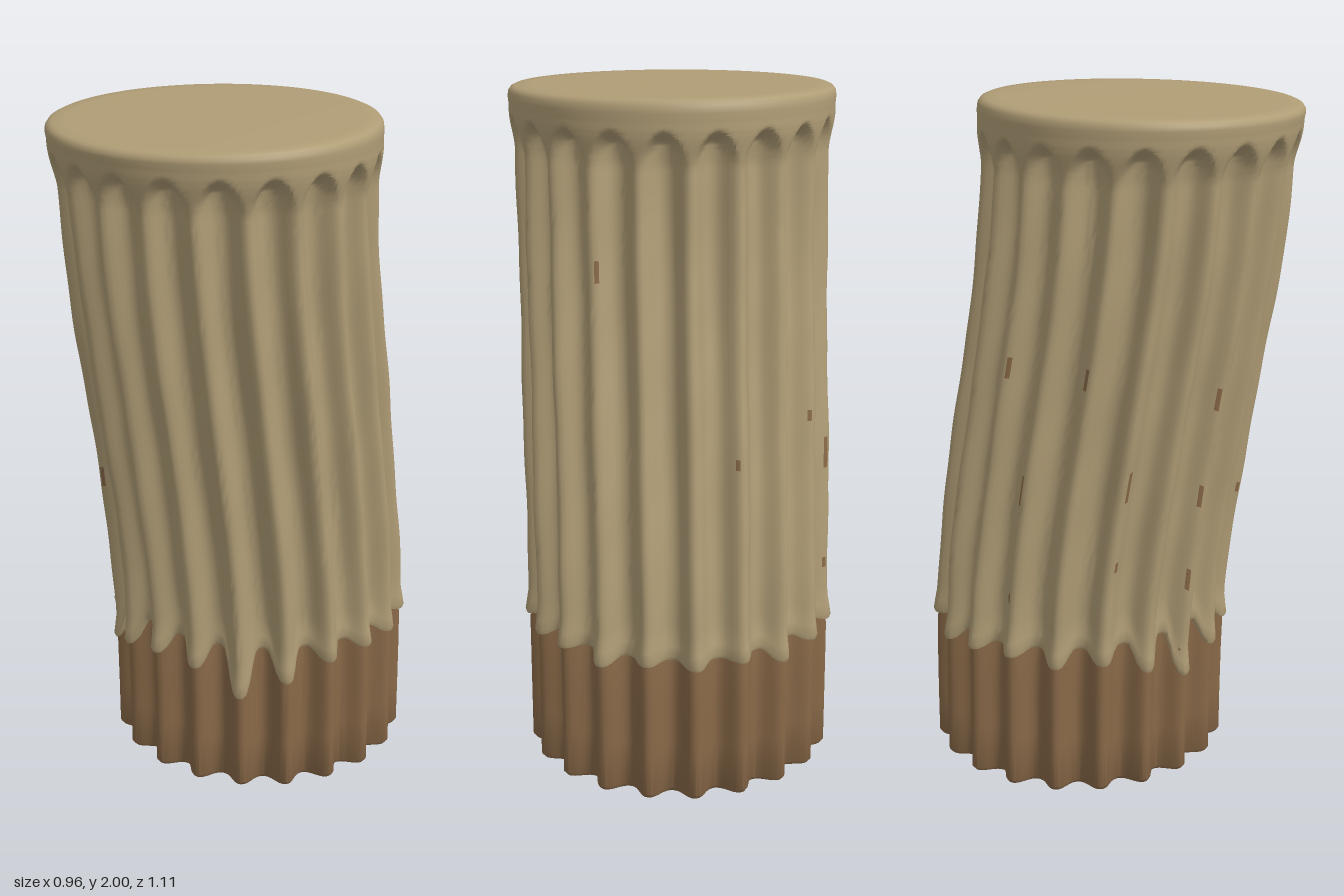
import * as THREE from 'three';
import { toCreasedNormals } from 'three/addons/utils/BufferGeometryUtils.js';

const RIDGES = 20, PER = 14, N = RIDGES * PER;
// lowest point of the glaze on each ridge, counted round from the front
const DIPS = [0.40, 0.39, 0.31, 0.36, 0.41, 0.42, 0.41, 0.42, 0.40, 0.42,
  0.41, 0.42, 0.39, 0.41, 0.42, 0.40, 0.41, 0.37, 0.32, 0.37];

const smooth = THREE.MathUtils.smoothstep;

// the stick leans forward in a slight S: centre line z by height
const LEAN = [[0, -0.105], [0.2, -0.104], [0.4, -0.1], [0.6, -0.088], [0.8, -0.064], [1, -0.034],
  [1.2, -0.002], [1.4, 0.03], [1.6, 0.057], [1.8, 0.074], [2, 0.087]];
const leanPoints = new THREE.SplineCurve(LEAN.map(([y, z]) => new THREE.Vector2(y, z))).getPoints(120);
function leanAt(y) {
  for (let i = 1; i < leanPoints.length; i++) {
    const a = leanPoints[i - 1], b = leanPoints[i];
    if (y <= b.x) return a.y + (b.y - a.y) * (y - a.x) / (b.x - a.x);
  }
  return 0.087;
}

// distance from the nearest ridge, 0 on the ridge to 0.5 in the flute
function ridgeOffset(j) {
  const t = j / PER;
  return Math.abs(t - Math.round(t));
}
// rounded bump: 1 on a ridge, 0 along the flute floor
const ridgeShape = (d, width) => Math.exp(-Math.pow(d / width, 2.4));

// rings of N points joined into a skin, with optional fans closing the ends
function skin(rings, point, closeStart, closeEnd, paint) {
  const pos = [], parts = [[], []];
  for (let i = 0; i < rings; i++) for (let j = 0; j < N; j++) pos.push(...point(i, j));
  for (let i = 0; i < rings - 1; i++) {
    for (let j = 0; j < N; j++) {
      const k = (j + 1) % N, a = i * N + j, b = i * N + k, c = a + N, d = b + N;
      parts[paint(i, j) ? 1 : 0].push(a, b, d, a, d, c);
    }
  }
  const fan = (row, flip) => {
    const mid = new THREE.Vector3(), p = new THREE.Vector3();
    for (let j = 0; j < N; j++) mid.add(p.fromArray(pos, (row * N + j) * 3));
    mid.divideScalar(N);
    const m = pos.length / 3;
    pos.push(mid.x, mid.y, mid.z);
    for (let j = 0; j < N; j++) {
      const a = row * N + j, b = row * N + (j + 1) % N;
      parts[0].push(...(flip ? [m, b, a] : [m, a, b]));
    }
  };
  if (closeStart) fan(0, true);
  if (closeEnd) fan(rings - 1, false);
  const g = new THREE.BufferGeometry();
  g.setAttribute('position', new THREE.Float32BufferAttribute(pos, 3));
  g.setIndex([...parts[0], ...parts[1]]);
  const out = toCreasedNormals(g, 0.75);
  out.addGroup(0, parts[0].length, 0);
  out.addGroup(parts[0].length, parts[1].length, 1);
  return out;
}

function place(j, r, y) {
  const a = j / N * Math.PI * 2;
  return [Math.sin(a) * r * 1.02, y, Math.cos(a) * r + leanAt(y)];
}

// lower rim of the glaze: arches over flutes, rounded drips on ridges
function rim(j) {
  const k = Math.round(j / PER) % RIDGES;
  const peak = 0.445 + 0.02 * Math.cos(j / N * Math.PI * 2);
  return peak - (peak - DIPS[k]) * Math.exp(-Math.pow(ridgeOffset(j) / 0.28, 4));
}

function glazeRadius(j, y) {
  const d = ridgeOffset(j), a = j / N * Math.PI * 2;
  const arch = 1.91 - 0.09 * Math.pow(1 - 2 * d, 2);
  const fade = 1 - smooth(y, arch - 0.035, arch + 0.01);
  const outer = 0.451 + 0.016 * smooth(y, 1.8, 1.92);
  const uneven = 0.002 * Math.sin(y * 9 + a * 7) + 0.001 * Math.sin(y * 23 - a * 12);
  return outer - 0.052 * fade * (1 - ridgeShape(d, 0.25)) + uneven * (1 - smooth(y, 1.8, 1.9));
}

export function createModel() {
  const group = new THREE.Group();
  const glazeMat = new THREE.MeshStandardMaterial({ color: 0xb09d76 });
  glazeMat.name = 'tan glaze';
  const biscuitMat = new THREE.MeshStandardMaterial({ color: 0x896948 });
  biscuitMat.name = 'brown biscuit';

  // bare fluted end, with a small bevel at the foot
  const baseRows = [[0, 0.01], [0.012, 0], [0.15, 0], [0.3, 0], [0.4, 0], [0.52, 0.012]];
  const base = new THREE.Mesh(skin(baseRows.length, (i, j) => {
    const [y, inset] = baseRows[i];
    return place(j, 0.448 - inset - 0.052 * (1 - ridgeShape(ridgeOffset(j), 0.27)), y);
  }, true, true, () => false), [biscuitMat, biscuitMat]);
  base.name = 'biscuitEnd';
  group.add(base);

  // glaze rows: lip, long body, arched flute ends, rounded top
  const BODY = 45, ARCH = 22;
  const top = [[1.96, 0], [1.975, 0.002], [1.985, 0.009], [1.99, 0.02], [1.991, 0.06]];
  const rings = 2 + BODY + ARCH + top.length;
  const glazePoint = (i, j) => {
    const low = rim(j);
    if (i === 0) return place(j, glazeRadius(j, low) - 0.025, low + 0.008);
    if (i === 1) return place(j, glazeRadius(j, low) + 0.005, low);
    i -= 2;
    if (i < BODY) {
      const y = THREE.MathUtils.lerp(low + 0.012, 1.77, i / (BODY - 1));
      return place(j, glazeRadius(j, y) + 0.01 * (1 - smooth(y, low, low + 0.09)), y);
    }
    i -= BODY;
    if (i < ARCH) {
      const y = 1.775 + 0.165 * i / (ARCH - 1);
      return place(j, glazeRadius(j, y), y);
    }
    const [y, inset] = top[i - ARCH];
    const p = place(j, 0.469 - inset, y);
    p[1] -= 0.02 * (p[2] - 0.087) * smooth(y, 1.95, 1.98);
    return p;
  };

  // narrow worn streaks on ridge flanks where the biscuit shows
  let seed = 7;
  const random = () => (seed = (seed * 16807) % 2147483647) / 2147483647;
  const worn = new Set();
  for (let n = 0; n < 14; n++) {
    const j = (Math.floor(random() * RIDGES) * PER + (random() < 0.5 ? 1 : N - 2)) % N;
    const start = 6 + Math.floor(random() * 34), length = 1 + Math.floor(random() * 3);
    for (let i = 0; i < length; i++) worn.add((start + i) * N + j);
  }
  const glaze = new THREE.Mesh(
    skin(rings, glazePoint, false, true, (i, j) => worn.has(i * N + j)),
    [glazeMat, biscuitMat]);
  glaze.name = 'glazeCoat';
  group.add(glaze);
  return group;
}
